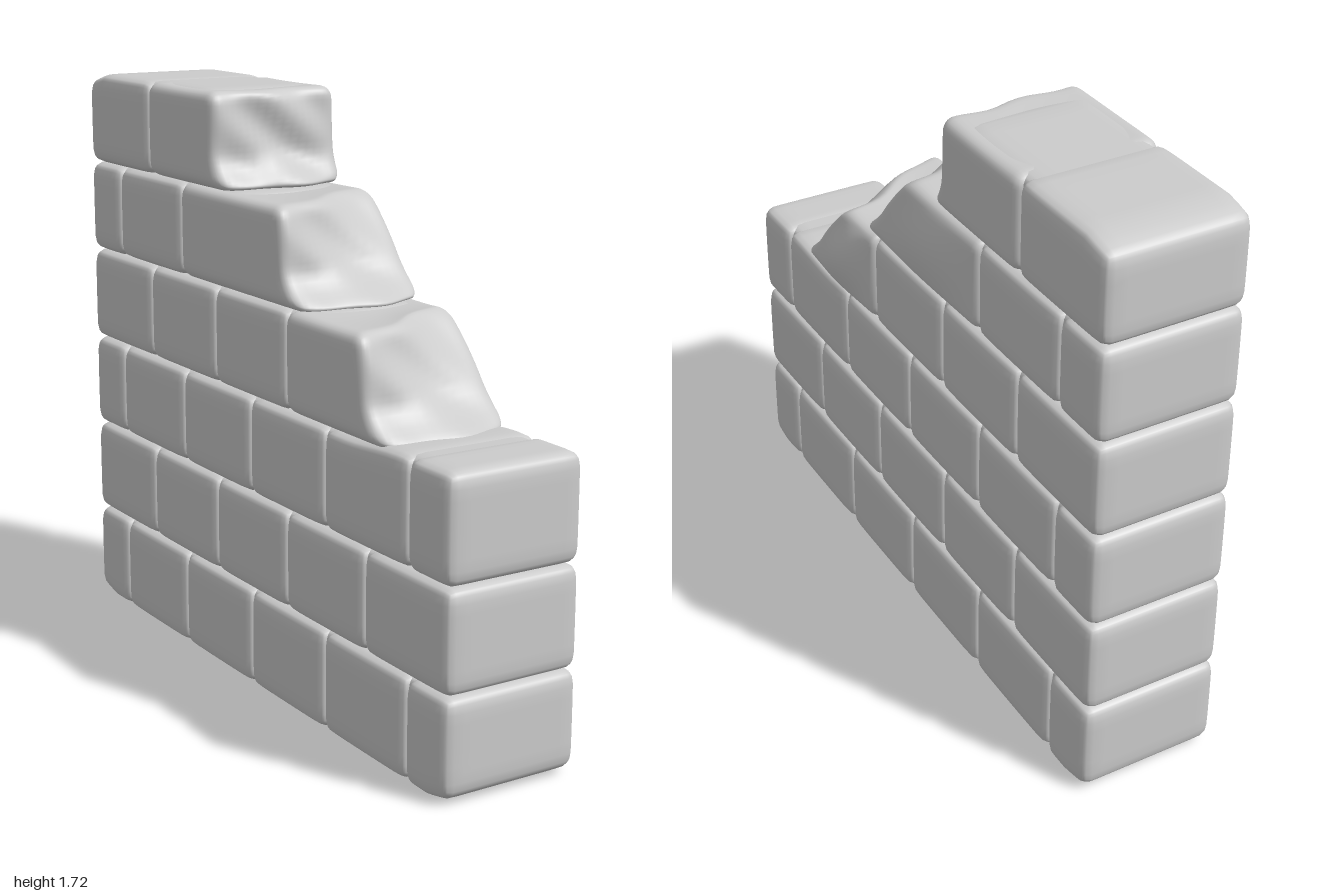
import * as THREE from 'three';
import { mergeVertices } from 'three/addons/utils/BufferGeometryUtils.js';

const CX = -0.015, HALF_W = 0.215, R = 0.038;
const ROWS = [0, 0.295, 0.585, 0.872, 1.16, 1.44, 1.72];
const stone = new THREE.MeshStandardMaterial({ color: 0xcccccc, side: THREE.DoubleSide });

// Pillow-shaped block between two z and y limits; warp(p, u, v, t) reshapes it further
function block(name, y0, y1, z0, z1, warp, seg = 12, halfW = HALF_W) {
  const geo = new THREE.BoxGeometry(2, 2, 2, seg, seg, seg);
  geo.deleteAttribute('uv');
  geo.deleteAttribute('normal');
  const pos = geo.attributes.position;
  const half = new THREE.Vector3(halfW, (y1 - y0) / 2, (z1 - z0) / 2);
  const inner = half.clone().subScalar(R);
  const min = inner.clone().negate();
  const p = new THREE.Vector3(), c = new THREE.Vector3();
  const ease = (a) => Math.sin(a * Math.PI / 2); // crowd vertices near the edges
  for (let i = 0; i < pos.count; i++) {
    p.fromBufferAttribute(pos, i);
    p.set(ease(p.x), ease(p.y), ease(p.z)).multiply(half);
    c.copy(p).clamp(min, inner);
    p.sub(c).setLength(R).add(c);
    const v = p.y / half.y, t = p.z / half.z;
    p.x *= 1 - 0.025 * (v ** 4 + t ** 4) / 2;
    p.x += CX;
    p.y += (y0 + y1) / 2;
    p.z += (z0 + z1) / 2;
    // worn lower ends and upper back end
    const wear = 0.22 * Math.max(0, Math.abs(p.z) - 0.9);
    if (p.y < 0.1) p.y += wear;
    if (p.y > 1.62) p.y -= wear;
    if (warp) warp(p, (p.x - CX) / HALF_W, (v + 1) / 2, (t + 1) / 2);
    pos.setXYZ(i, p.x, p.y, p.z);
  }
  const merged = mergeVertices(geo, 1e-5);
  merged.computeVertexNormals();
  const mesh = new THREE.Mesh(merged, stone);
  mesh.name = name;
  return mesh;
}

// Broken front: slopes back towards +x at the top, flares out at the foot
function broken(z0, z1, cutLeft, cutRight, foot, bulge) {
  return (p, u, v, t) => {
    const side = THREE.MathUtils.smoothstep(u, -1, 1);
    const cut = THREE.MathUtils.lerp(cutRight, cutLeft, side) * v ** 1.5;
    const flare = foot * Math.max(0, 1 - v / 0.4) ** 2 * (1 - 0.5 * u * u);
    const dent = 0.012 * Math.sin(11 * u * 0.5 + 9 * v) * (1 - u * u);
    const front = z1 - cut + flare + dent;
    p.z = z0 + (p.z - z0) * (front - z0) / (z1 - z0);
    // swollen stone on the +x flank
    p.x += bulge * Math.max(0, u) * Math.sin(Math.PI * Math.min(1, v * 1.1)) * Math.sin(Math.PI * t) ** 2;
    // slight sag of the upper surface
    p.y -= 0.012 * v ** 4 * Math.sin(Math.PI * t) * (1 - u * u);
  };
}

export function createModel() {
  const wall = new THREE.Group();
  wall.name = 'ruinedBrickWall';

  // Whole bricks in running bond: z joints of each row, back to front
  const odd = [-1, -0.8, -0.4, 0, 0.4, 0.8, 1];
  const even = [-1, -0.6, -0.2, 0.2, 0.6, 1];
  const joints = [odd, even, odd, even.slice(0, 4), odd.slice(0, 3), even.slice(0, 2)];
  const lift = (p, u, v) => { p.y += 0.015 * v * THREE.MathUtils.smoothstep(p.z, 0.5, 0.75); };
  joints.forEach((row, r) => {
    const course = new THREE.Group();
    course.name = `course${r + 1}`;
    for (let i = 0; i < row.length - 1; i++) {
      const back = row[i] === -1 ? -1 : row[i] - 0.003;
      const front = row[i + 1] === 1 ? 0.992 : row[i + 1] + 0.003;
      course.add(block('brick', ROWS[r], ROWS[r + 1], back, front, r === 2 ? lift : null));
    }
    wall.add(course);
  });

  // Broken bricks that step down towards the front
  const stepped = [
    { row: 3, z0: 0.197, z1: 0.62, cutRight: 0.04, cutLeft: 0.24, foot: 0.13, bulge: 0.035 },
    { row: 4, z0: -0.403, z1: 0.205, cutRight: 0.03, cutLeft: 0.22, foot: 0.13, bulge: 0.022 },
    { row: 5, z0: -0.603, z1: -0.195, cutRight: 0, cutLeft: 0.01, foot: 0.1, bulge: 0 },
  ];
  for (const s of stepped) {
    wall.add(block('brokenBrick', ROWS[s.row], ROWS[s.row + 1], s.z0, s.z1,
      broken(s.z0, s.z1, s.cutLeft, s.cutRight, s.foot, s.bulge), 24));
  }

  // Mortar core closes the joints on the top and underside
  [0.96, 0.96, 0.96, 0.3, -0.1, -0.26].forEach((front, r) => {
    wall.add(block('mortarCore', ROWS[r] + 0.002, ROWS[r + 1] - 0.002, -0.965, front,
      r === 2 ? lift : null, 12, 0.195));
  });
  return wall;
}
